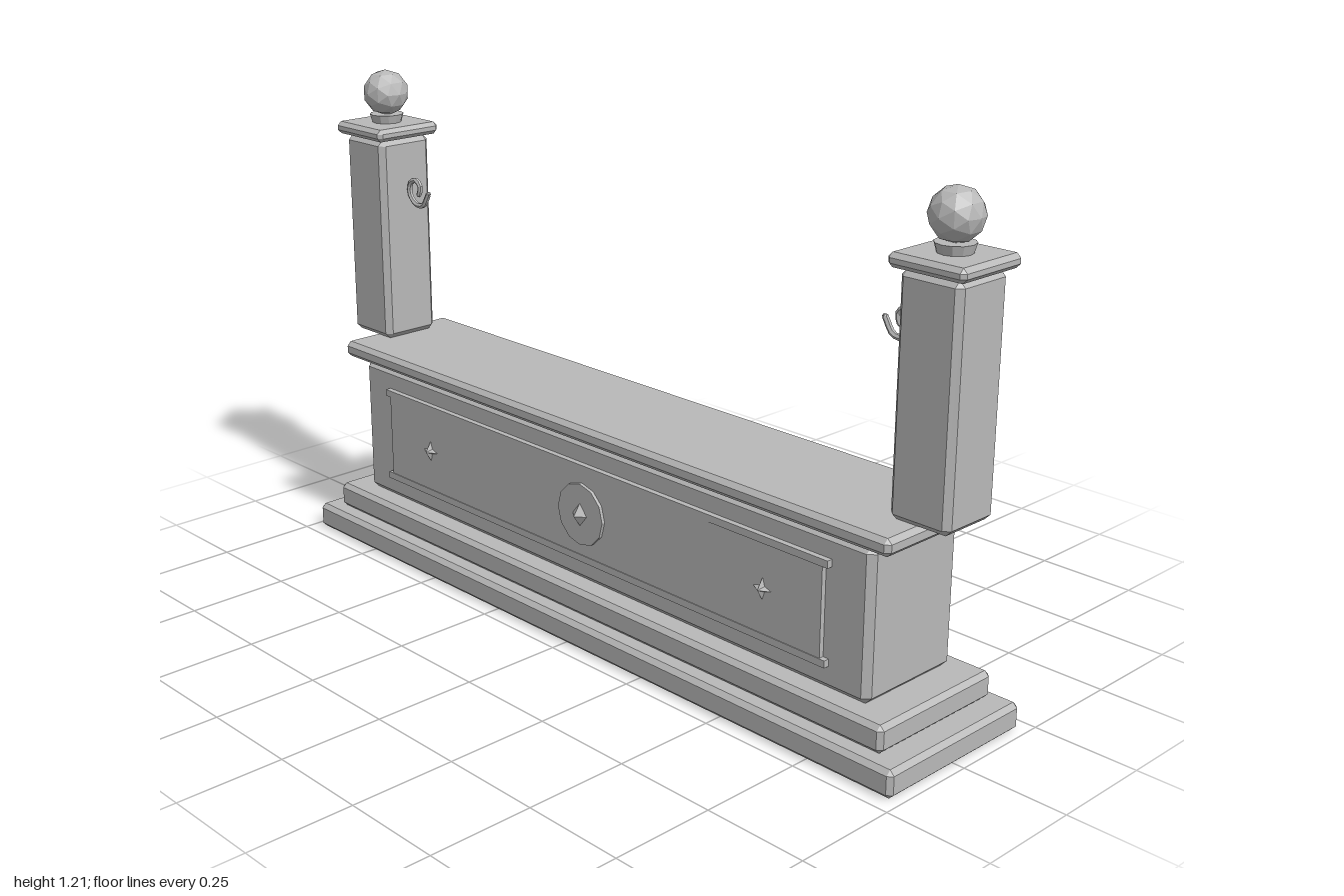
import * as THREE from 'three';
import { ConvexGeometry } from 'three/addons/geometries/ConvexGeometry.js';

export function createModel() {
  const model = new THREE.Group();
  const stone = new THREE.MeshStandardMaterial({ color: 0xb8b8b8, flatShading: true });
  stone.name = 'grey stone';

  function add(parent, name, geometry, x = 0, y = 0, z = 0) {
    const mesh = new THREE.Mesh(geometry, stone);
    mesh.name = name;
    mesh.position.set(x, y, z);
    parent.add(mesh);
    return mesh;
  }

  // Box with chamfered edges, standing on y = 0
  function chamferBox(w, h, d, c) {
    const points = [];
    for (const sx of [-1, 1]) for (const sy of [-1, 1]) for (const sz of [-1, 1]) {
      for (const [a, b, e] of [[0, c, c], [c, 0, c], [c, c, 0]]) {
        points.push(new THREE.Vector3(sx * (w / 2 - a), h / 2 + sy * (h / 2 - b), sz * (d / 2 - e)));
      }
    }
    return new ConvexGeometry(points);
  }

  // Four-pointed star rising to a point along +z
  function starGeometry(radius, inner, height) {
    const corners = [];
    for (let i = 0; i < 8; i++) {
      const a = (i * Math.PI) / 4;
      const r = i % 2 ? inner : radius;
      corners.push([r * Math.cos(a), r * Math.sin(a), 0]);
    }
    const positions = [];
    corners.forEach((p, i) => positions.push(0, 0, height, ...p, ...corners[(i + 1) % 8]));
    const geometry = new THREE.BufferGeometry();
    geometry.setAttribute('position', new THREE.Float32BufferAttribute(positions, 3));
    geometry.computeVertexNormals();
    return geometry;
  }

  // Stepped plinth, body and top slab
  add(model, 'base', chamferBox(1.96, 0.065, 0.434, 0.011));
  add(model, 'step', chamferBox(1.85, 0.064, 0.37, 0.011), 0, 0.067);
  add(model, 'body', chamferBox(1.7, 0.354, 0.282, 0.016), 0, 0.131);
  add(model, 'topSlab', chamferBox(1.81, 0.04, 0.326, 0.011), 0, 0.486);

  // Panel, trim and ornaments on both long faces
  for (const side of ['front', 'back']) {
    const face = new THREE.Group();
    face.name = side + 'Decoration';
    face.rotation.y = side === 'front' ? 0 : Math.PI;
    model.add(face);
    add(face, 'panel', new THREE.BoxGeometry(1.46, 0.23, 0.016), 0, 0.31, 0.145);
    for (const y of [0.197, 0.422]) {
      add(face, 'trim', new THREE.BoxGeometry(1.49, 0.017, 0.018), 0, y, 0.146);
    }
    const disc = new THREE.CylinderGeometry(0.076, 0.076, 0.022, 12).rotateX(Math.PI / 2);
    add(face, 'medallion', disc, 0, 0.31, 0.15);
    add(face, 'diamond', new THREE.OctahedronGeometry(1).scale(0.037, 0.044, 0.03), 0, 0.31, 0.15);
    for (const x of [-0.567, 0.567]) {
      add(face, 'star', starGeometry(0.026, 0.009, 0.016), x, 0.31, 0.1535);
    }
  }

  // Hook curl beside the left post, mirrored for the other
  const curl = [[0.781, 0.909], [0.775, 0.93], [0.791, 0.945], [0.813, 0.936],
    [0.819, 0.909], [0.797, 0.884], [0.765, 0.884], [0.742, 0.917]];

  // End posts with ball finials
  for (const s of [-1, 1]) {
    const post = new THREE.Group();
    post.name = s > 0 ? 'leftPost' : 'rightPost';
    model.add(post);
    const x = s * 0.905;
    add(post, 'shaft', chamferBox(0.152, 0.522, 0.154, 0.014), x, 0.527);
    add(post, 'shaftPanel', new THREE.BoxGeometry(0.085, 0.39, 0.012), x, 0.79, -0.078);
    add(post, 'capital', chamferBox(0.188, 0.031, 0.188, 0.01), x, 1.05);
    add(post, 'neck', new THREE.CylinderGeometry(0.043, 0.036, 0.024, 12), x, 1.09);
    add(post, 'ball', new THREE.IcosahedronGeometry(0.058, 1), x, 1.156);
    const points = curl.map(([px, py]) => new THREE.Vector3(s * px, py, 0));
    add(post, 'hook', new THREE.TubeGeometry(new THREE.CatmullRomCurve3(points), 18, 0.007, 6));
    for (const end of [points[0], points[points.length - 1]]) {
      add(post, 'hookEnd', new THREE.IcosahedronGeometry(0.007, 0), end.x, end.y, 0);
    }
  }
  return model;
}
